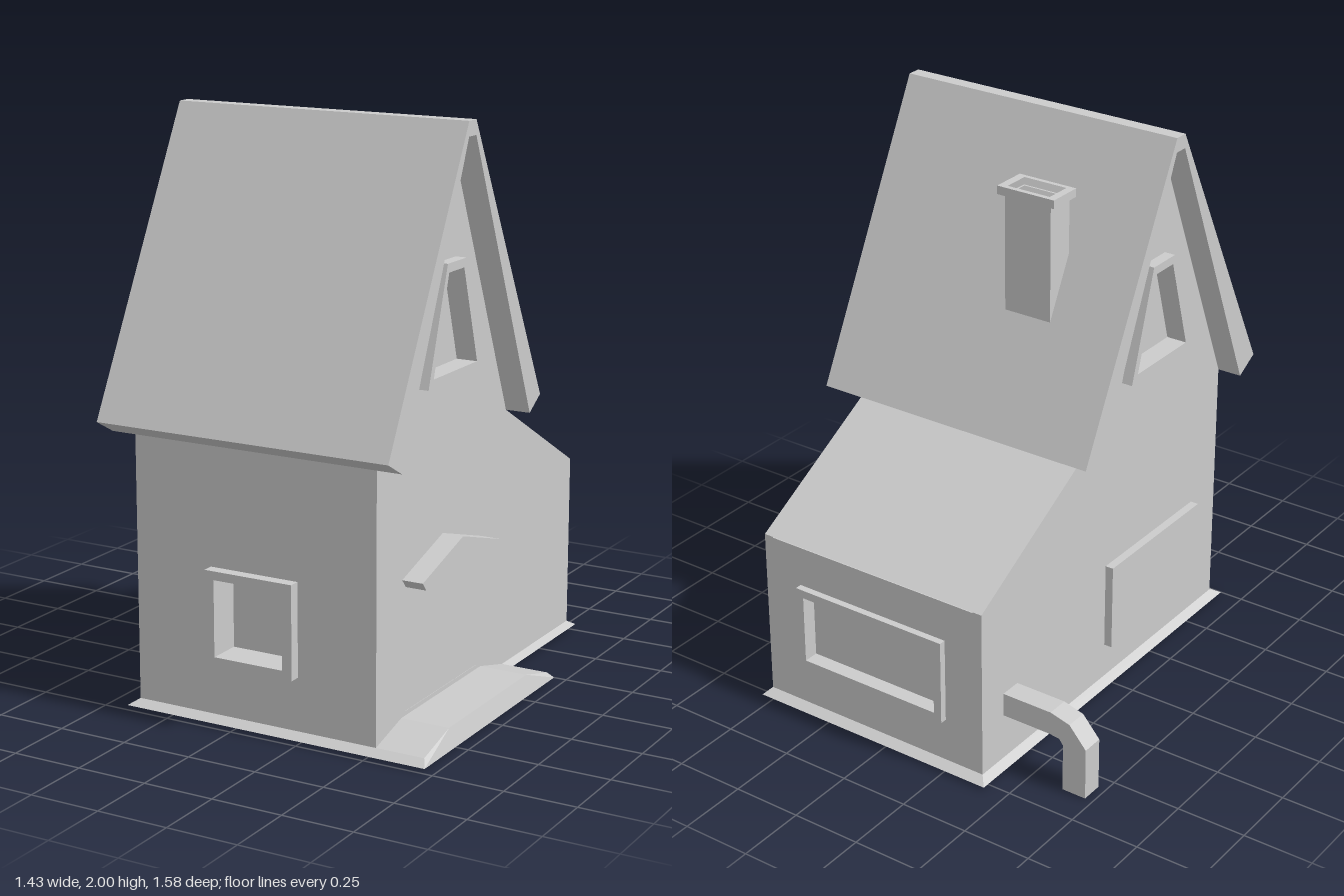
import * as THREE from 'three';
import { ConvexGeometry } from 'three/addons/geometries/ConvexGeometry.js';

const material = new THREE.MeshStandardMaterial({ color: 0xcccccc, flatShading: true });
const rect = (a0, b0, a1, b1) => [[a0, b0], [a1, b0], [a1, b1], [a0, b1]];

function mesh(name, geometry) {
  const m = new THREE.Mesh(geometry, material);
  m.name = name;
  return m;
}

function prism(points, holes, depth) {
  const toVectors = (list) => list.map(([a, b]) => new THREE.Vector2(a, b));
  const shape = new THREE.Shape(toVectors(points));
  shape.holes = holes.map((h) => new THREE.Path(toVectors(h)));
  return new THREE.ExtrudeGeometry(shape, { depth, bevelEnabled: false });
}

// Outline in (z, y), running from x0 to x1
function alongX(name, points, x0, x1, holes = []) {
  const flip = (list) => list.map(([z, y]) => [-z, y]);
  const g = prism(flip(points), holes.map(flip), x1 - x0);
  return mesh(name, g.rotateY(Math.PI / 2).translate(x0, 0, 0));
}

// Outline in (x, y), running from z0 to z1
function alongZ(name, points, z0, z1, holes = []) {
  return mesh(name, prism(points, holes, z1 - z0).translate(0, 0, z0));
}

// Outline in (x, z), running from y0 to y1
function alongY(name, points, y0, y1, holes = []) {
  const flip = (list) => list.map(([x, z]) => [x, -z]);
  const g = prism(flip(points), holes.map(flip), y1 - y0);
  return mesh(name, g.rotateX(-Math.PI / 2).translate(0, y0, 0));
}

function convex(name, points) {
  return mesh(name, new ConvexGeometry(points.map((p) => new THREE.Vector3(...p))));
}

const level = (x0, z0, x1, z1, y) => rect(x0, z0, x1, z1).map(([x, z]) => [x, y, z]);

export function createModel() {
  const house = new THREE.Group();
  house.name = 'house';

  const left = 0.52, right = -0.39, wall = 0.035;
  const profile = [[0.70, 0.03], [0.70, 0.95], [0.27, 1.95], [0.22, 1.95],
    [-0.21, 0.95], [-0.75, 0.65], [-0.75, 0.03]];
  const gableOuter = [[0.435, 1.155], [0.06, 1.155], [0.18, 1.545], [0.31, 1.545]];
  const gableInner = [[0.40, 1.185], [0.095, 1.185], [0.195, 1.515], [0.30, 1.515]];
  const door = [[0.505, 0.09], [0.505, 0.515], [0.25, 0.59], [-0.01, 0.515], [-0.01, 0.09]];
  const sideOuter = rect(-0.02, 0.16, 0.54, 0.48);
  const sideInner = rect(0.01, 0.19, 0.51, 0.45);
  const frontOuter = rect(-0.10, 0.215, 0.23, 0.54);
  const frontInner = rect(-0.065, 0.245, 0.195, 0.51);
  const backOuter = rect(-0.24, 0.19, 0.37, 0.50);
  const backInner = rect(-0.21, 0.22, 0.34, 0.47);

  // Core that backs the door and window recesses and carries the lean-to roof
  const core = [[0.62, 0.03], [0.62, 0.95], [0.70, 0.95], ...profile.slice(2, 6),
    [-0.72, 0.645], [-0.72, 0.03]];
  house.add(alongX('core', core, right + wall, left - wall));

  // Outer walls with openings
  house.add(
    alongX('leftWall', profile, left - wall, left, [door, gableInner]),
    alongX('rightWall', profile, right, right + wall, [sideInner, gableInner]),
    alongZ('frontWall', rect(right + wall, 0.03, left - wall, 0.95), 0.62, 0.70, [frontInner]),
    alongZ('backWall', rect(right + wall, 0.03, left - wall, 0.647), -0.75, -0.72, [backInner]),
  );

  // Window frames
  house.add(
    alongX('leftGableFrame', gableOuter, left, left + 0.04, [gableInner]),
    alongX('rightGableFrame', gableOuter, right - 0.04, right, [gableInner]),
    alongX('sideWindowFrame', sideOuter, right - 0.03, right, [sideInner]),
    alongZ('frontWindowFrame', frontOuter, 0.70, 0.74, [frontInner]),
    alongZ('backWindowFrame', backOuter, -0.775, -0.75, [backInner]),
  );

  // Steep roof slab
  house.add(alongX('roof', [[0.70, 0.95], [0.79, 1.0], [0.27, 2.0], [0.22, 2.0], [-0.29, 1.0],
    [-0.21, 0.95], [0.22, 1.95], [0.27, 1.95]], -0.48, 0.61));

  // Chimney: hollow shaft and rim
  const flue = rect(-0.192, -0.087, -0.025, 0.008);
  house.add(
    alongY('chimneyShaft', rect(-0.20, -0.093, -0.018, 0.015), 1.28, 1.8, [flue]),
    alongY('chimneyRim', rect(-0.22, -0.105, 0.005, 0.024), 1.8, 1.83, [flue]),
  );

  // Door canopy
  house.add(alongX('doorCanopy', [[0.505, 0.515], [0.53, 0.545], [0.25, 0.63], [-0.035, 0.545],
    [-0.01, 0.515], [0.25, 0.59]], left, 0.595));

  // Flared base and sloped door step
  house.add(
    convex('base', [...level(-0.42, -0.785, 0.54, 0.735, 0.01), ...level(right, -0.75, left, 0.70, 0.03)]),
    convex('doorStep', [...level(0.5, -0.225, 0.715, 0.735, 0.01),
      ...level(0.5, -0.21, 0.695, 0.70, 0.03), ...level(0.5, -0.04, 0.695, 0.53, 0.075)]),
  );

  // Drain pipe
  house.add(alongZ('drainPipe', [[right, 0.285], [-0.58, 0.285], [-0.655, 0.265], [-0.72, 0.19],
    [-0.72, 0], [-0.63, 0], [-0.63, 0.175], [-0.615, 0.195], [-0.575, 0.2], [right, 0.2]],
    -0.63, -0.55));

  return house;
}
